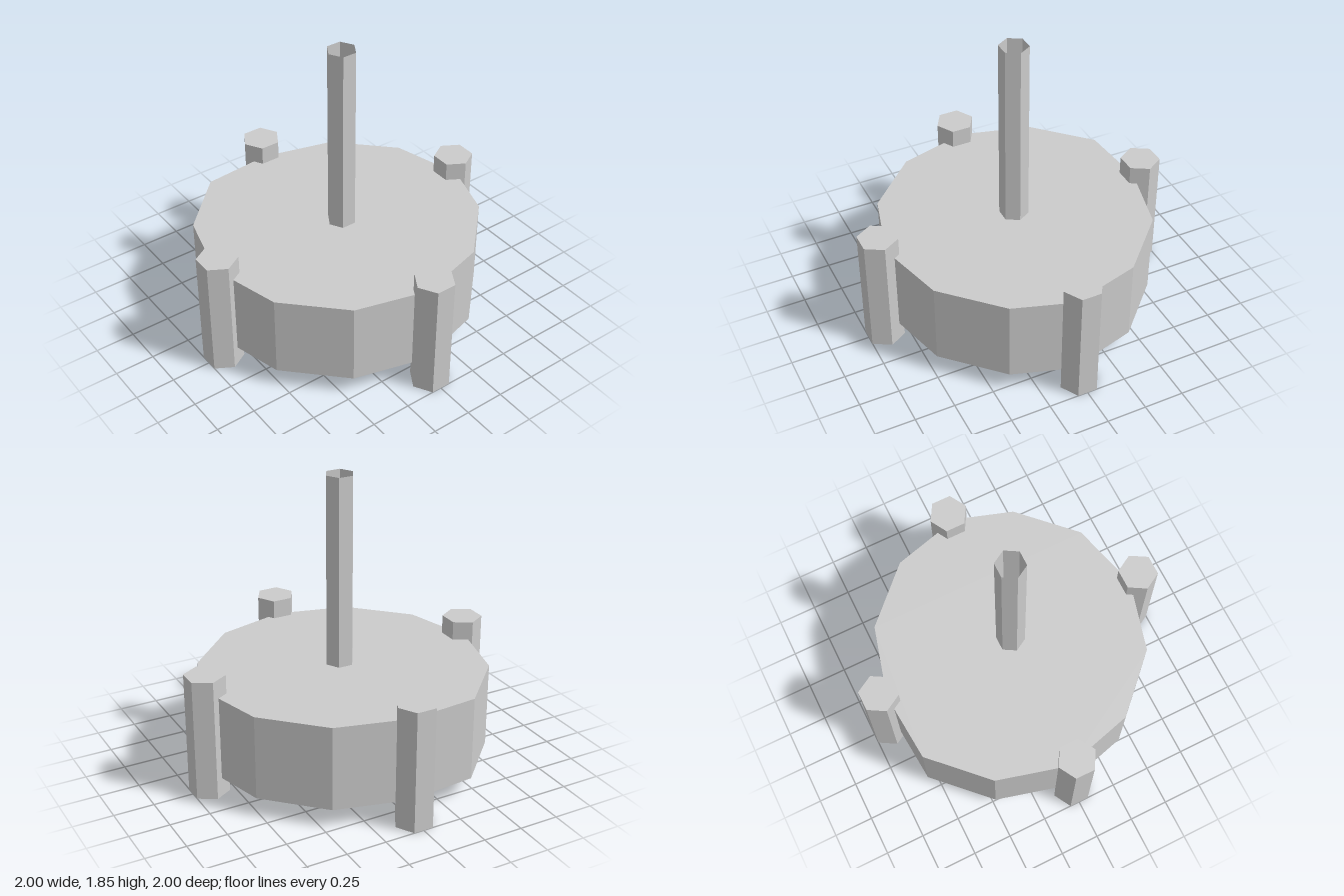
import * as THREE from 'three';

const grey = new THREE.MeshStandardMaterial({ color: 0xcccccc, flatShading: true });
const greyOpen = new THREE.MeshStandardMaterial({ color: 0xcccccc, flatShading: true, side: THREE.DoubleSide });

function addMesh(group, name, geometry, material = grey) {
  const mesh = new THREE.Mesh(geometry, material);
  mesh.name = name;
  group.add(mesh);
  return mesh;
}

export function createModel() {
  const model = new THREE.Group();

  // Twelve-sided drum, with one quarter pulled in slightly so it is uneven
  const outline = [];
  for (let i = 0; i < 12; i++) {
    const a = (i * Math.PI) / 6;
    const pulledIn = i === 0 || i >= 9;
    outline.push(new THREE.Vector2(0.89 * Math.cos(a), 0.89 * Math.sin(a) + (pulledIn ? 0.04 : -0.043)));
  }
  const drum = new THREE.ExtrudeGeometry(new THREE.Shape(outline), { depth: 0.53, bevelEnabled: false });
  drum.rotateX(Math.PI / 2);
  addMesh(model, 'drum', drum).position.y = 0.65;

  // Four hexagonal posts around the rim, a flat side facing outward
  ['leftPost', 'backPost', 'rightPost', 'frontPost'].forEach((name, i) => {
    const post = new THREE.CylinderGeometry(0.124, 0.124, 0.77, 6);
    post.translate(0.893, 0.385, 0);
    addMesh(model, name, post).rotation.y = (i * Math.PI) / 2;
  });

  // Open hexagonal tube standing in the middle
  const pole = new THREE.CylinderGeometry(0.09, 0.09, 1.2, 6, 1, true);
  pole.rotateY(Math.PI / 2);
  addMesh(model, 'centrePole', pole, greyOpen).position.y = 1.25;

  return model;
}
